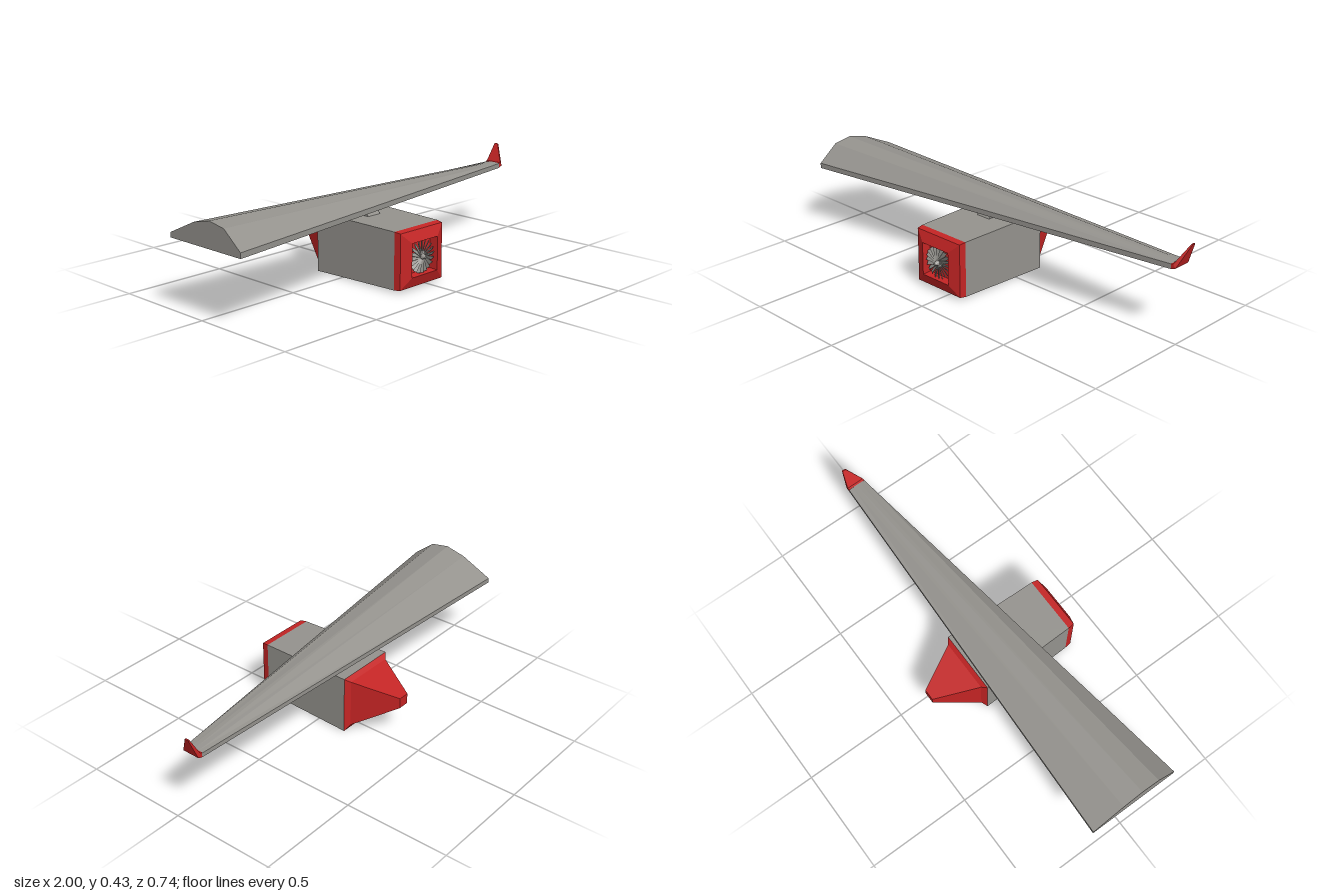
import * as THREE from 'three';

const material = (name, color) => {
  const m = new THREE.MeshStandardMaterial({ color, flatShading: true });
  m.name = name;
  return m;
};

// Skin between cross-sections that run counter-clockwise seen along the loft direction
function loft(rings, capStart = true, capEnd = true) {
  const pos = [];
  const tri = (a, b, c) => pos.push(...a, ...b, ...c);
  const n = rings[0].length;
  for (let k = 0; k < rings.length - 1; k++) {
    for (let i = 0; i < n; i++) {
      const j = (i + 1) % n, r = rings[k], s = rings[k + 1];
      tri(r[i], r[j], s[j]);
      tri(r[i], s[j], s[i]);
    }
  }
  const first = rings[0], last = rings[rings.length - 1];
  for (let i = 1; i < n - 1; i++) {
    if (capStart) tri(first[0], first[i + 1], first[i]);
    if (capEnd) tri(last[0], last[i], last[i + 1]);
  }
  const g = new THREE.BufferGeometry();
  g.setAttribute('position', new THREE.Float32BufferAttribute(pos, 3));
  g.computeVertexNormals();
  return g;
}

const CX = -0.055; // engine centre line
const rect = (z, halfWidth, y0, y1) => [
  [CX - halfWidth, y0, z], [CX + halfWidth, y0, z],
  [CX + halfWidth, y1, z], [CX - halfWidth, y1, z],
];

export function createModel() {
  const grey = material('hull grey', 0x94928d);
  const red = material('trim red', 0xc42424);
  const model = new THREE.Group();
  model.name = 'wingWithEngine';
  const add = (name, geometry, mat, parent = model) => {
    const mesh = new THREE.Mesh(geometry, mat);
    mesh.name = name;
    parent.add(mesh);
    return mesh;
  };

  // Wing: faceted aerofoil, flat underneath, tapering to the tip; points are [z, y]
  const root = [[0.255, 0.315], [-0.185, 0.315], [-0.185, 0.338], [-0.03, 0.41],
    [0.068, 0.433], [0.158, 0.418], [0.255, 0.34]];
  const tip = [[-0.021, 0.316], [-0.106, 0.316], [-0.106, 0.336], [-0.085, 0.339],
    [-0.065, 0.341], [-0.045, 0.341], [-0.021, 0.339]];
  const section = (x, pts) => pts.map(([z, y]) => [x, y, z]);
  add('wing', loft([section(-1, root), section(0.94, tip)]), grey);

  // Winglet: bends outward and up from the tip
  const wingletRing = (xo, yo, xi, yi, zf, zb) =>
    [[xo, yo, zf], [xo, yo, zb], [xi, yi, zb], [xi, yi, zf]];
  add('winglet', loft([
    wingletRing(0.94, 0.316, 0.94, 0.34, -0.021, -0.106),
    wingletRing(0.962, 0.324, 0.95, 0.341, -0.022, -0.107),
    wingletRing(1.0, 0.425, 0.994, 0.426, -0.077, -0.095),
  ]), red);

  // Pylon: swept strut between engine and wing
  const strut = (y, zf, zb) => [[-0.098, y, zf], [-0.022, y, zf], [-0.022, y, zb], [-0.098, y, zb]];
  add('pylon', loft([strut(0.27, 0.067, -0.025), strut(0.32, 0.034, -0.056)]), grey);

  // Engine body and tail cone
  add('engineBody', loft([
    rect(-0.152, 0.15, 0, 0.278),
    rect(0.313, 0.139, 0.009, 0.272),
  ]), grey);
  add('tailCone', loft([
    rect(-0.37, 0.027, 0.155, 0.205),
    rect(-0.17, 0.125, 0.029, 0.259),
    rect(-0.152, 0.15, 0, 0.278),
  ]), red);

  // Intake: bevelled lip turning inward into a square recess
  add('intakeLip', loft([
    rect(0.313, 0.139, 0.009, 0.272),
    rect(0.345, 0.135, 0.013, 0.268),
    rect(0.366, 0.082, 0.064, 0.219),
    rect(0.325, 0.078, 0.068, 0.215),
  ], false), red);

  // Fan: pitched blades round a pointed hub
  const fan = new THREE.Group();
  fan.name = 'fan';
  fan.position.set(CX, 0.1415, 0.347);
  model.add(fan);
  const bladeCount = 20;
  for (let i = 0; i < bladeCount; i++) {
    const arm = new THREE.Group();
    arm.name = 'bladeArm';
    arm.rotation.z = (i / bladeCount) * Math.PI * 2;
    fan.add(arm);
    const blade = add('blade', new THREE.BoxGeometry(0.064, 0.018, 0.003), grey, arm);
    blade.position.x = 0.043;
    blade.rotation.x = 0.6;
  }
  const hub = add('hub', new THREE.CylinderGeometry(0.006, 0.02, 0.036, 10), grey, fan);
  hub.rotation.x = Math.PI / 2;
  hub.position.z = 0.007;

  return model;
}
